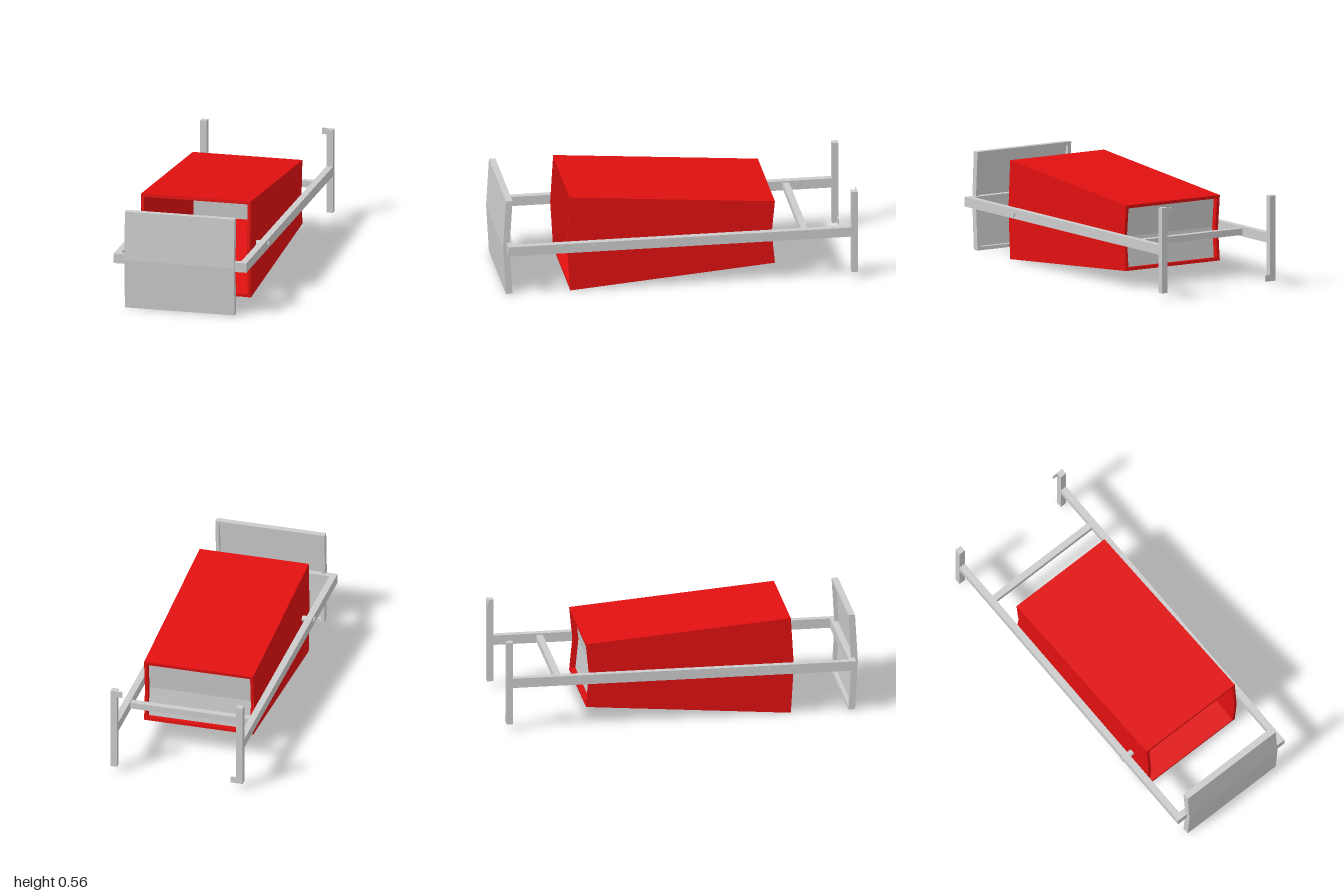
import * as THREE from 'three';

const grey = new THREE.MeshStandardMaterial({ color: 0xcccccc, flatShading: true });
const red = new THREE.MeshStandardMaterial({ color: 0xe01010, flatShading: true });
const MID = 0.282; // height of the symmetry plane

export function createModel() {
  const model = new THREE.Group();

  const add = (name, geometry, material) => {
    const mesh = new THREE.Mesh(geometry, material);
    mesh.name = name;
    model.add(mesh);
    return mesh;
  };
  // Block given by its min and max corners
  const block = (name, [x0, y0, z0], [x1, y1, z1]) => {
    const g = new THREE.BoxGeometry(x1 - x0, y1 - y0, z1 - z0);
    add(name, g.translate((x0 + x1) / 2, (y0 + y1) / 2, (z0 + z1) / 2), grey);
  };
  // Side profile of [z, y] points extruded from x0 to x1
  const profile = (name, points, x0, x1, material) => {
    const shape = new THREE.Shape(points.map(([z, y]) => new THREE.Vector2(z, y)));
    const g = new THREE.ExtrudeGeometry(shape, { depth: x1 - x0, bevelEnabled: false });
    add(name, g.rotateY(-Math.PI / 2).translate(x1, 0, 0), material);
  };
  // Bent plate: half height h, outer z at the middle and at the ends, thickness t
  const chevron = (zMid, zEnd, h, t) => [
    [zEnd, MID - h], [zMid, MID], [zEnd, MID + h],
    [zEnd - t, MID + h], [zMid - t, MID], [zEnd - t, MID - h],
  ];

  // Tapered open box: two side walls, top and bottom
  const W = 0.317, T = 0.018;
  const wall = [
    [0.62, 0], [0.637, MID], [0.62, 2 * MID - 0.002],
    [-0.54, 0.468], [-0.522, MID], [-0.54, 0.096],
  ];
  for (const s of [-1, 1]) {
    const xs = [s * W, s * (W - T)].sort((a, b) => a - b);
    profile('boxSide', wall, xs[0], xs[1], red);
    const flip = (z, y) => [z, MID + s * y];
    profile('boxLid', [flip(0.62, 0.28), flip(0.621, 0.262), flip(-0.538, 0.168), flip(-0.54, 0.186)],
      -W + T, W - T, red);
  }
  // Recessed panel closing the back of the box
  profile('backPanel', chevron(-0.475, -0.492, 0.172, 0.015), -W + T, W - T, grey);

  // Bent front plate with a raised rim on its inner side
  profile('frontPlate', chevron(1, 0.984, 0.28, 0.014), -W, W, grey);
  const rim = 0.02, depth = 0.036;
  for (const s of [-1, 1]) {
    const xs = [s * W, s * (W - rim)].sort((a, b) => a - b);
    profile('plateSideRim', chevron(0.999, 0.983, 0.28, depth), xs[0], xs[1], grey);
    const y = (v) => MID + s * v;
    profile('plateEdgeRim',
      [[0.983, y(0.28)], [0.984, y(0.26)], [0.948, y(0.26)], [0.947, y(0.28)]],
      -W + rim, W - rim, grey);
  }

  // Frame: rails, upright end bars with small catches, and pivot pins
  for (const s of [-1, 1]) {
    const [x0, x1] = s > 0 ? [0.346, 0.384] : [-0.384, -0.346];
    block('rail', [x0, 0.255, -0.965], [x1, 0.31, 0.98]);
    block('endBar', [x0, 0.04, -1], [x1, 0.524, -0.964]);
    const [c0, c1] = s > 0 ? [0.315, 0.347] : [-0.347, -0.315];
    const y0 = s > 0 ? 0.488 : 0.04;
    block('catch', [c0, y0, -1], [c1, y0 + 0.036, -0.993]);
    const pin = new THREE.CylinderGeometry(0.017, 0.017, 0.08, 24);
    const pinMesh = add('pivotPin', pin.rotateZ(Math.PI / 2).translate(s * 0.351, MID, 0.49),
      new THREE.MeshStandardMaterial({ color: 0xcccccc }));
    pinMesh.name = 'pivotPin';
  }
  block('frontCrossbar', [-0.346, 0.255, 0.943], [0.346, 0.31, 0.98]);
  block('rearCrossbar', [-0.346, 0.264, -0.722], [0.346, 0.301, -0.685]);

  return model;
}
